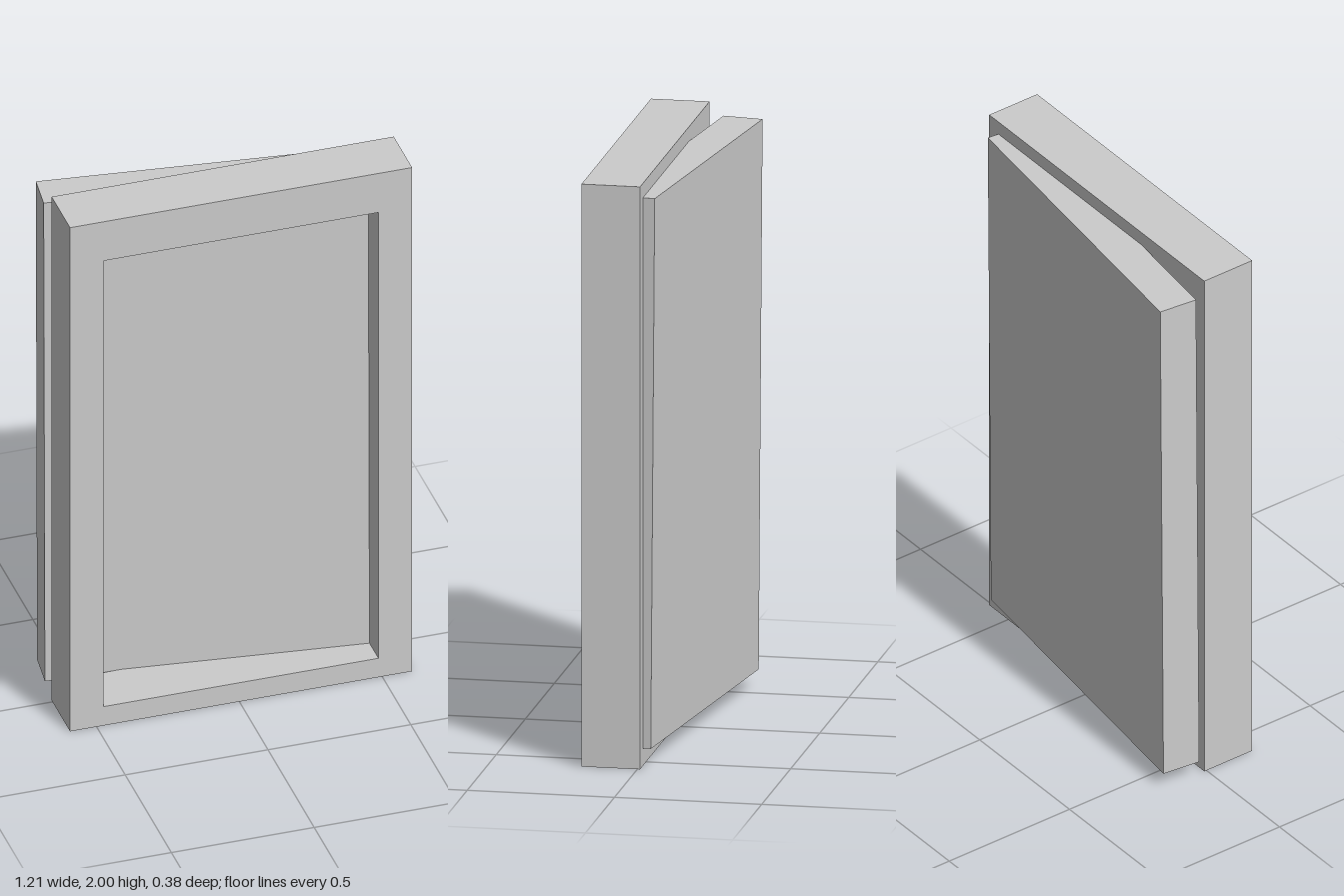
import * as THREE from 'three';

const material = new THREE.MeshStandardMaterial({ color: 0xcccccc, flatShading: true });

// Adds the four corners of an axis-aligned rectangle to a shape or hole
function rectangle(path, x0, y0, x1, y1) {
  path.moveTo(x0, y0);
  path.lineTo(x1, y0);
  path.lineTo(x1, y1);
  path.lineTo(x0, y1);
  path.closePath();
  return path;
}

export function createModel() {
  const group = new THREE.Group();

  // Deep rectangular frame, open right through
  const outline = rectangle(new THREE.Shape(), -0.593, 0, 0.605, 2);
  outline.holes.push(rectangle(new THREE.Path(), -0.475, 0.075, 0.487, 1.845));
  const frame = new THREE.Mesh(
    new THREE.ExtrudeGeometry(outline, { depth: 0.199, bevelEnabled: false }),
    material
  );
  frame.name = 'frame';
  frame.position.z = -0.009;
  group.add(frame);

  // Solid panel, slightly ajar and sunk into the back of the frame
  const panel = new THREE.Mesh(new THREE.BoxGeometry(1.157, 1.89, 0.137), material);
  panel.name = 'panel';
  panel.position.set(-0.024, 1.005, -0.045);
  panel.rotation.set(-0.007, -0.1214, 0);
  group.add(panel);

  return group;
}
